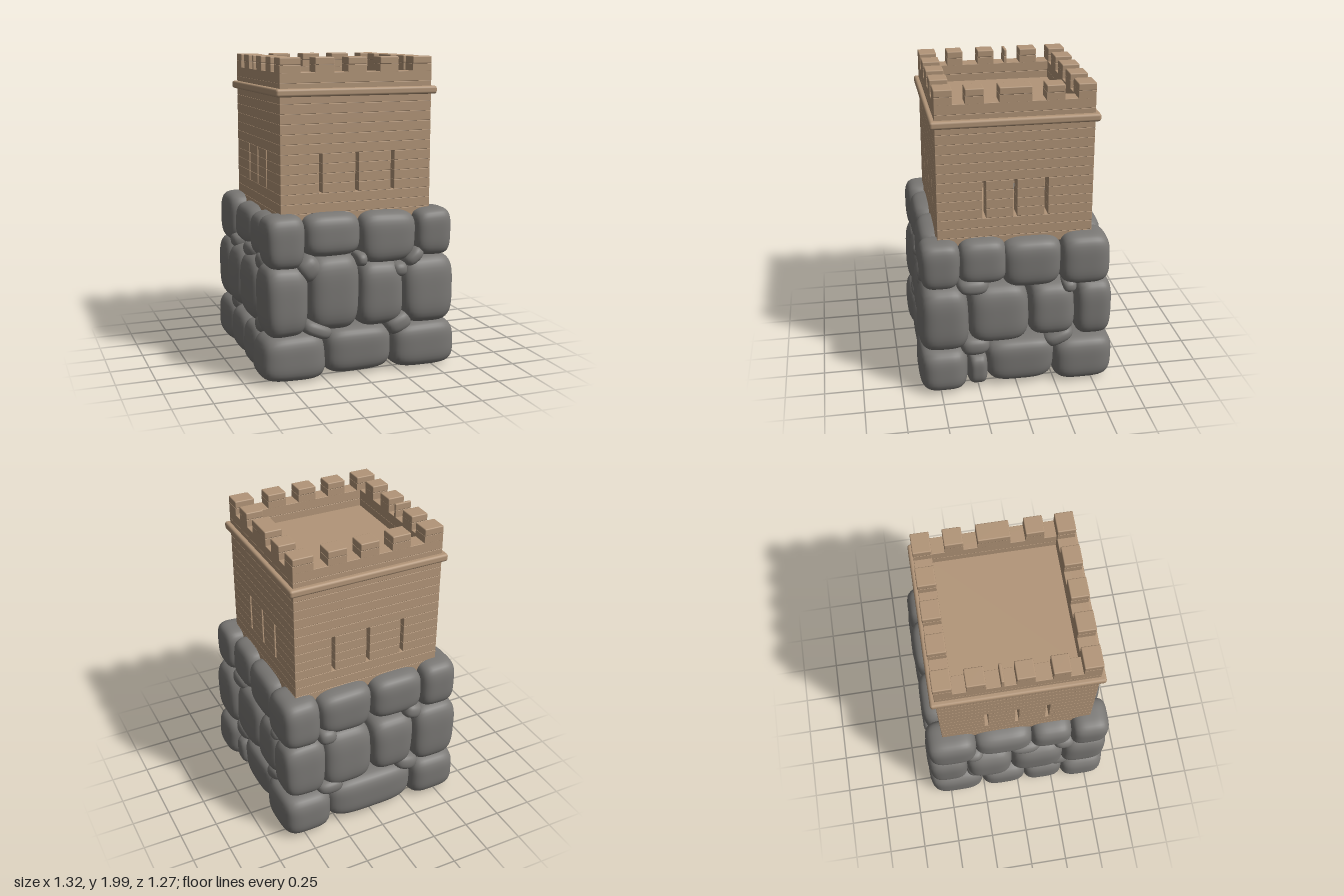
import * as THREE from 'three';
import { mergeVertices } from 'three/addons/utils/BufferGeometryUtils.js';
import { RoundedBoxGeometry } from 'three/addons/geometries/RoundedBoxGeometry.js';

const stoneMat = new THREE.MeshStandardMaterial({ color: 0x7a7875 });
stoneMat.name = 'grey stone';
const woodMat = new THREE.MeshStandardMaterial({ color: 0xb29578 });
woodMat.name = 'tan timber';

let seed = 7;
const rand = () => (seed = (seed * 16807) % 2147483647) / 2147483647;

// Pillow-shaped boulder filling the given ranges, slightly tapered at random
function boulder(name, [x0, x1], [y0, y1], [z0, z1], power = 3.8, segments = 12) {
  let geo = new THREE.BoxGeometry(2, 2, 2, segments, segments, segments);
  geo.deleteAttribute('uv');
  geo.deleteAttribute('normal');
  geo = mergeVertices(geo);
  const pos = geo.attributes.position;
  const v = new THREE.Vector3();
  const [a, b, c] = [0, 0, 0].map(() => (rand() - 0.5) * 0.1);
  for (let i = 0; i < pos.count; i++) {
    v.fromBufferAttribute(pos, i);
    const sum = Math.abs(v.x) ** power + Math.abs(v.y) ** power + Math.abs(v.z) ** power;
    v.multiplyScalar(1.02 * sum ** (-1 / power));
    const { x, y, z } = v;
    v.set(x * (1 + a * y), y * (1 + b * x), z * (1 + c * y));
    pos.setXYZ(i, v.x * (x1 - x0) / 2, v.y * (y1 - y0) / 2, v.z * (z1 - z0) / 2);
  }
  geo.computeVertexNormals();
  const mesh = new THREE.Mesh(geo, stoneMat);
  mesh.name = name;
  mesh.position.set((x0 + x1) / 2, (y0 + y1) / 2, (z0 + z1) / 2);
  return mesh;
}

// Corner boulders: x range, y range, z range
const corners = [
  [[-0.655, -0.24], [0.01, 0.31], [0.31, 0.63]],
  [[0.21, 0.65], [0.01, 0.31], [0.32, 0.63]],
  [[-0.64, -0.3], [0.01, 0.32], [-0.63, -0.25]],
  [[0.3, 0.64], [0.01, 0.32], [-0.635, -0.24]],
  [[-0.63, -0.35], [0.29, 0.74], [0.31, 0.62]],
  [[0.28, 0.64], [0.3, 0.74], [0.31, 0.625]],
  [[-0.63, -0.31], [0.3, 0.74], [-0.62, -0.35]],
  [[0.34, 0.63], [0.33, 0.73], [-0.62, -0.38]],
  [[-0.62, -0.37], [0.72, 1.05], [0.36, 0.61]],
  [[0.37, 0.62], [0.74, 1.04], [0.36, 0.61]],
  [[-0.62, -0.36], [0.72, 1.05], [-0.6, -0.28]],
  [[0.36, 0.62], [0.7, 1.04], [-0.6, -0.28]],
];

// Boulders between the corners: position along the wall, height
const walls = {
  front: [
    [[-0.24, 0.21], [0.02, 0.32]],
    [[-0.35, -0.01], [0.31, 0.79]], [[-0.02, 0.29], [0.31, 0.73]],
    [[-0.37, 0.0], [0.78, 1.05]], [[0.0, 0.38], [0.71, 1.04]],
  ],
  back: [
    [[-0.31, 0.31], [0.02, 0.32]],
    [[-0.31, 0.0], [0.32, 0.73]], [[0.0, 0.35], [0.31, 0.75]],
    [[-0.37, 0.0], [0.74, 1.04]], [[0.0, 0.37], [0.73, 1.04]],
  ],
  right: [
    [[-0.25, 0.2], [0.03, 0.33]], [[0.19, 0.32], [0.03, 0.25]],
    [[-0.38, -0.08], [0.35, 0.72]], [[-0.08, 0.31], [0.33, 0.73]],
    [[-0.29, 0.09], [0.7, 1.03]], [[0.06, 0.37], [0.75, 1.04]],
  ],
  left: [
    [[-0.26, 0.06], [0.02, 0.32]], [[0.04, 0.33], [0.02, 0.31]],
    [[-0.36, -0.04], [0.32, 0.73]], [[-0.05, 0.32], [0.31, 0.74]],
    [[-0.29, 0.1], [0.76, 1.03]], [[0.09, 0.37], [0.73, 1.03]],
  ],
};

// How far the lower two courses reach outward on each side
const reach = { front: 0.615, back: 0.615, right: 0.62, left: 0.64 };

// Small filler pebbles: position along the wall, height, width, height size, tilt
const pebbles = {
  front: [[-0.34, 0.715, 0.15, 0.16, 0.6], [-0.29, 0.32, 0.2, 0.1, -0.4], [0, 0.75, 0.08, 0.09, 0],
    [0.26, 0.665, 0.11, 0.1, 0], [0.36, 0.74, 0.15, 0.09, 0.7], [0.26, 0.31, 0.18, 0.13, 0.4]],
  back: [[-0.3, 0.74, 0.13, 0.11, 0.3], [0.32, 0.74, 0.13, 0.11, 0], [-0.27, 0.32, 0.17, 0.12, 0.3], [0.3, 0.32, 0.19, 0.11, 0]],
  right: [[0.28, 0.735, 0.2, 0.11, 0], [0.27, 0.305, 0.19, 0.13, 0], [-0.34, 0.695, 0.1, 0.09, 0], [-0.28, 0.32, 0.2, 0.1, 0.4]],
  left: [[-0.3, 0.74, 0.13, 0.11, 0], [0.05, 0.75, 0.22, 0.11, 0], [0.32, 0.73, 0.15, 0.13, 0], [-0.28, 0.32, 0.17, 0.13, 0], [0.3, 0.32, 0.17, 0.13, 0.3]],
};

function buildBase() {
  const base = new THREE.Group();
  base.name = 'stoneBase';
  corners.forEach(c => base.add(boulder('cornerBoulder', ...c)));
  for (const side in walls) {
    const alongX = side === 'front' || side === 'back';
    const sign = side === 'front' || side === 'right' ? 1 : -1;
    for (const [along, height] of walls[side]) {
      const outer = height[0] > 0.6 ? 0.6 : reach[side];
      const depth = sign > 0 ? [0.3, outer] : [-outer, -0.3];
      const name = side + 'Boulder';
      base.add(alongX ? boulder(name, along, height, depth) : boulder(name, depth, height, along));
    }
    for (const [u, y, w, h, tilt] of pebbles[side]) {
      const p = boulder(side + 'Pebble', [-w / 2, w / 2], [-h / 2, h / 2], [-0.08, 0.08], 2.6, 8);
      p.position.set(alongX ? u : sign * 0.53, y, alongX ? sign * 0.53 : u);
      // Turn side pebbles to face outward, then tilt them in the wall plane
      p.rotation.set(0, alongX ? 0 : sign * Math.PI / 2, tilt, 'YXZ');
      base.add(p);
    }
  }
  return base;
}

// Softly rounded timber block
function timber(name, w, h, d, x, y, z, radius = 0.003) {
  const mesh = new THREE.Mesh(new RoundedBoxGeometry(w, h, d, 2, radius), woodMat);
  mesh.name = name;
  mesh.position.set(x, y, z);
  return mesh;
}

// One wall facing +z: planks split around the arrow slits, parapet and merlons
function buildWall(name, length, slit, merlons) {
  const wall = new THREE.Group();
  wall.name = name;
  const thick = 0.11, row = 0.0613, half = length / 2, gap = 0.0115;
  for (let i = 0; i < 13; i++) {
    const y = 0.986 + row * (i + 0.5);
    const cuts = i >= 3 && i < 7 ? [-half, -slit, 0, slit, half] : [-half, half];
    for (let k = 0; k < cuts.length - 1; k++) {
      const a = cuts[k] + (k > 0 ? gap : 0);
      const b = cuts[k + 1] - (k < cuts.length - 2 ? gap : 0);
      wall.add(timber('plank', b - a, row, thick, (a + b) / 2, y, -thick / 2));
    }
  }
  for (const y of [1.815, 1.878]) wall.add(timber('parapetPlank', length, 0.0635, thick, 0, y, -thick / 2));
  for (const [a, b] of merlons) {
    wall.add(timber('merlonBase', b - a, 0.05, thick, (a + b) / 2, 1.93, -thick / 2));
    wall.add(timber('merlonCap', b - a, 0.047, thick + 0.004, (a + b) / 2, 1.9765, -thick / 2, 0.007));
  }
  return wall;
}

function buildTower() {
  const tower = new THREE.Group();
  tower.name = 'timberTower';
  const longMerlons = [[-0.5, -0.365], [-0.275, -0.15], [-0.062, 0.062], [0.15, 0.275], [0.37, 0.5]];
  const front = buildWall('frontWall', 1, 0.24, longMerlons);
  front.position.z = 0.49;
  const back = buildWall('backWall', 1, 0.24, longMerlons);
  back.position.z = -0.49;
  back.rotation.y = Math.PI;
  const right = buildWall('rightWall', 0.79, 0.195, [[-0.305, -0.19], [-0.1, 0.1], [0.185, 0.3]]);
  right.position.x = 0.5;
  right.rotation.y = Math.PI / 2;
  const left = buildWall('leftWall', 0.79, 0.195, [[-0.3, -0.185], [-0.1, -0.08], [-0.01, 0.1], [0.2, 0.305]]);
  left.position.x = -0.5;
  left.rotation.y = -Math.PI / 2;
  tower.add(front, back, right, left);

  // Roof deck and lower floor
  for (const [name, y] of [['roofDeck', 1.785], ['lowerFloor', 1.0]]) {
    const deck = new THREE.Mesh(new THREE.BoxGeometry(0.8, 0.025, 0.78), woodMat);
    deck.name = name;
    deck.position.y = y;
    tower.add(deck);
  }

  // Projecting trim below the parapet
  for (const s of [-1, 1]) {
    tower.add(timber('trimRail', 1.06, 0.05, 0.06, 0, 1.79, s * 0.49, 0.016));
    tower.add(timber('trimRail', 0.06, 0.05, 1.04, s * 0.5, 1.79, 0, 0.016));
  }
  return tower;
}

export function createModel() {
  seed = 7;
  const model = new THREE.Group();
  model.name = 'stoneFootedTower';
  model.add(buildBase(), buildTower());
  return model;
}
